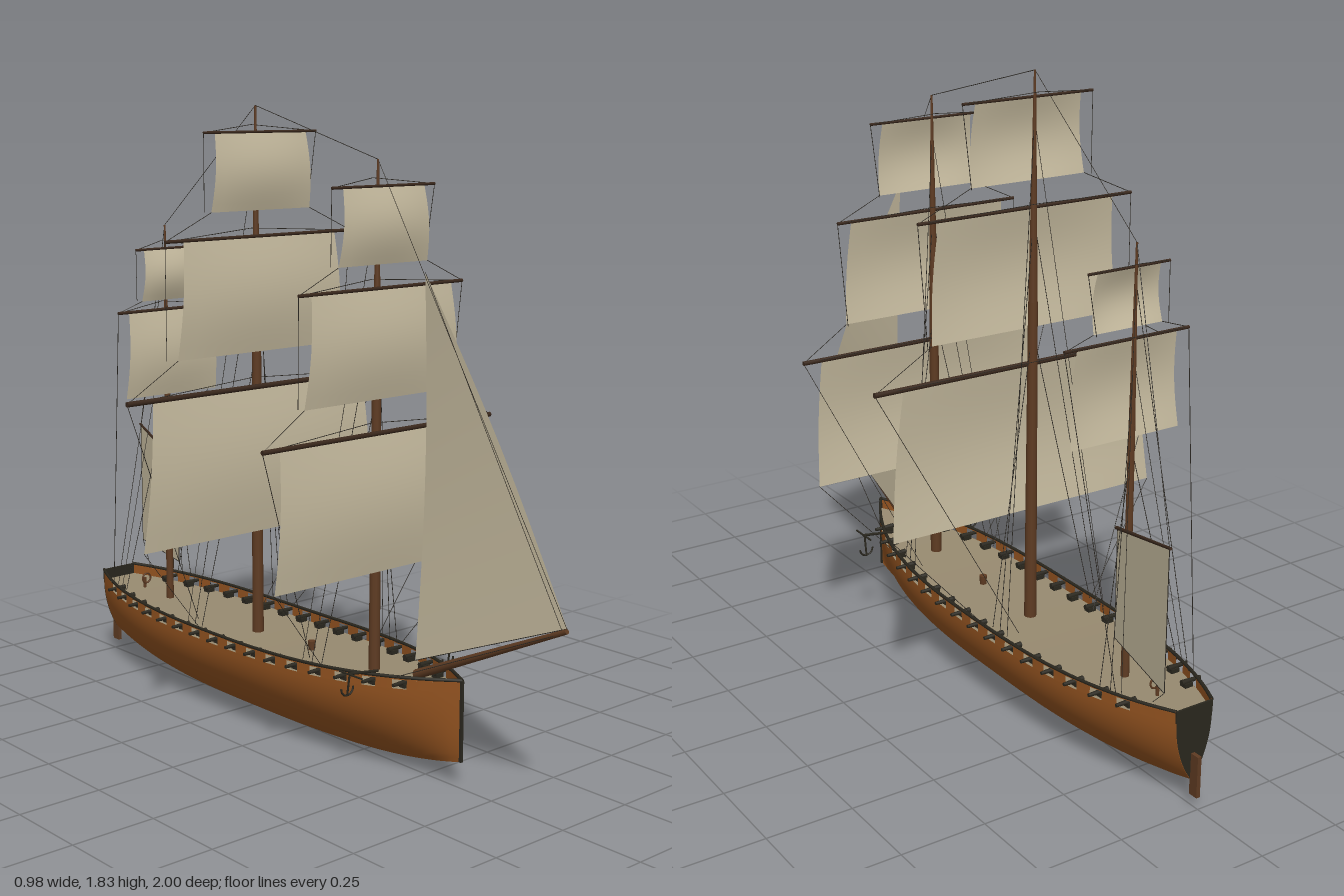
import * as THREE from 'three';

const mat = (name, color) => new THREE.MeshStandardMaterial({ name, color, side: THREE.DoubleSide });

// Hull lines as functions of z
const BOW = 0.635, STERN = -0.97, MID = -0.2;
const reach = (z) => (z > MID ? (z - MID) / (BOW - MID) : (MID - z) / (MID - STERN));
const halfWidth = (z) => 0.185 * (1 - (z > MID ? 1 : 0.68) * reach(z) ** 3);
const sheer = (z) => 0.28 + (z > MID ? 0.032 : 0.017) * reach(z) ** 2;
const deckY = (z) => sheer(z) - 0.034;
const keelY = (z) => 0.005 + 0.075 * reach(z) ** 3;
const section = (z, t) => [
  halfWidth(z) * Math.sin((Math.PI / 2) * t ** 0.8),
  keelY(z) + (deckY(z) - keelY(z)) * t,
];

// Grid surface from a rule f(u, v) -> [x, y, z]
function surface(nu, nv, f) {
  const pos = [], idx = [];
  for (let j = 0; j <= nv; j++) for (let i = 0; i <= nu; i++) pos.push(...f(i / nu, j / nv));
  for (let j = 0; j < nv; j++) for (let i = 0; i < nu; i++) {
    const a = j * (nu + 1) + i, b = a + nu + 1;
    idx.push(a, a + 1, b + 1, a, b + 1, b);
  }
  const g = new THREE.BufferGeometry();
  g.setAttribute('position', new THREE.Float32BufferAttribute(pos, 3));
  g.setIndex(idx);
  g.computeVertexNormals();
  return g;
}

export function createModel() {
  const model = new THREE.Group();
  model.name = 'sailingShip';
  const M = {
    hull: mat('hullBrown', 0x935320),
    deck: mat('deckTan', 0x978a70),
    sail: mat('sailCanvas', 0xc6bb9f),
    mast: mat('mastBrown', 0x5e3b22),
    yard: mat('yardDarkBrown', 0x3a281c),
    dark: mat('trimDark', 0x2a271e),
    rope: mat('ropeDark', 0x2e2a24),
  };
  const add = (name, geo, m, parent = model) => {
    const mesh = new THREE.Mesh(geo, m);
    mesh.name = name;
    parent.add(mesh);
    return mesh;
  };
  const group = (name) => {
    const g = new THREE.Group();
    g.name = name;
    model.add(g);
    return g;
  };
  // Round bar between two points
  const bar = (name, a, b, r0, r1, m, parent, sides = 10) => {
    const A = new THREE.Vector3(...a), B = new THREE.Vector3(...b);
    const mesh = add(name, new THREE.CylinderGeometry(r1, r0, A.distanceTo(B), sides), m, parent);
    mesh.position.copy(A).add(B).multiplyScalar(0.5);
    mesh.quaternion.setFromUnitVectors(new THREE.Vector3(0, 1, 0), B.sub(A).normalize());
    return mesh;
  };
  const rigging = group('rigging');
  const rope = (a, b, r = 0.001) => bar('rope', a, b, r, r, M.rope, rigging, 4);
  const box = (name, size, p, m, parent) =>
    add(name, new THREE.BoxGeometry(...size), m, parent).position.set(...p);

  // Hull, deck and transom
  const along = (u) => STERN + (BOW - STERN) * u;
  for (const s of [-1, 1]) {
    add('hullSide', surface(48, 16, (u, v) => {
      const z = along(u), [x, y] = section(z, v);
      return [s * x, y, z];
    }), M.hull);
  }
  add('deck', surface(40, 2, (u, v) => {
    const z = along(u);
    return [halfWidth(z) * (v * 2 - 1), deckY(z), z];
  }), M.deck);
  add('transom', surface(2, 16, (u, v) => {
    const [x, y] = section(STERN, v);
    return [x * (u * 2 - 1), y, STERN - 0.002];
  }), M.dark);
  box('sternRail', [0.12, 0.034, 0.006], [0, sheer(STERN) - 0.017, STERN], M.dark);
  box('stem', [0.008, 0.23, 0.008], [0, 0.195, BOW], M.dark);
  box('rudder', [0.012, 0.12, 0.03], [0, 0.1, -0.985], M.mast);

  // Bulwarks pierced by gun ports, rails and guns
  const ports = Array.from({ length: 16 }, (_, i) => -0.825 + i * 0.087);
  const half = 0.02;
  for (const s of [-1, 1]) {
    const side = group(s > 0 ? 'leftBulwark' : 'rightBulwark');
    const wall = (z0, z1, lo, hi, m) => add('bulwarkPanel', surface(6, 1, (u, v) => {
      const z = z0 + (z1 - z0) * u;
      return [s * halfWidth(z), deckY(z) + lo + (hi - lo) * v, z];
    }), m, side);
    const edges = [STERN, ...ports.flatMap((z) => [z - half, z + half]), BOW];
    for (let i = 0; i < edges.length; i += 2) wall(edges[i], edges[i + 1], 0, 0.026, M.hull);
    wall(STERN, ports[0], 0.026, 0.034, M.hull);
    for (let i = 0; i < 15; i++) wall(ports[i], ports[i + 1], 0.026, 0.034, M.hull);
    wall(ports[15], BOW, 0.026, 0.034, M.hull);
    const path = new THREE.CatmullRomCurve3(Array.from({ length: 25 }, (_, i) => {
      const z = along(i / 24);
      return new THREE.Vector3(s * halfWidth(z), sheer(z), z);
    }));
    add('rail', new THREE.TubeGeometry(path, 60, 0.005, 6), M.dark, side);
    for (const z of ports) {
      const w = halfWidth(z), y = deckY(z);
      box('gunCarriage', [0.026, 0.012, 0.022], [s * (w - 0.022), y + 0.007, z], M.dark, side);
      bar('gunBarrel', [s * (w - 0.04), y + 0.015, z], [s * (w + 0.024), y + 0.015, z], 0.008, 0.005, M.dark, side, 8);
    }

    // Cathead and anchor at the bow
    const anchor = group('anchor');
    bar('cathead', [s * 0.09, 0.3, 0.4], [s * 0.2, 0.315, 0.4], 0.004, 0.004, M.dark, anchor, 6);
    bar('shank', [s * 0.195, 0.315, 0.4], [s * 0.195, 0.25, 0.39], 0.003, 0.003, M.dark, anchor, 6);
    bar('stock', [s * 0.195, 0.312, 0.36], [s * 0.195, 0.312, 0.45], 0.003, 0.003, M.dark, anchor, 6);
    const arms = add('arms', new THREE.TorusGeometry(0.022, 0.003, 6, 12, Math.PI), M.dark, anchor);
    arms.position.set(s * 0.195, 0.272, 0.39);
    arms.rotation.z = Math.PI;
  }

  // Deck fittings
  bar('capstan', [0, 0.245, 0.02], [0, 0.275, 0.02], 0.01, 0.012, M.mast, model);
  const wheel = add('steeringWheel', new THREE.TorusGeometry(0.016, 0.003, 6, 16), M.mast);
  wheel.position.set(0, 0.29, -0.81);
  bar('wheelPost', [0, 0.255, -0.82], [0, 0.29, -0.82], 0.005, 0.005, M.mast, model);

  // Masts with square sails: [yard y, yard half, sail bottom, top half, bottom half, yard radius]
  const masts = [
    { name: 'foreMast', z: 0.29, top: 1.69, r: 0.017, sails: [
      [0.945, 0.43, 0.55, 0.37, 0.39, 0.007], [1.345, 0.305, 1.04, 0.26, 0.285, 0.005], [1.62, 0.19, 1.41, 0.15, 0.165, 0.004]] },
    { name: 'mainMast', z: -0.23, top: 1.83, r: 0.018, sails: [
      [1.01, 0.49, 0.57, 0.4, 0.44, 0.008], [1.455, 0.35, 1.115, 0.285, 0.31, 0.005], [1.755, 0.21, 1.53, 0.17, 0.185, 0.004]] },
    { name: 'mizzenMast', z: -0.68, top: 1.46, r: 0.012, sails: [
      [1.2, 0.2, 0.93, 0.16, 0.175, 0.005], [1.39, 0.13, 1.23, 0.1, 0.11, 0.004]] },
  ];
  for (const { name, z, top, r, sails } of masts) {
    const g = group(name);
    const y0 = deckY(z), yMid = y0 + (top - y0) * 0.6;
    bar('lowerMast', [0, y0 - 0.02, z], [0, yMid, z], r, r * 0.75, M.mast, g, 12);
    bar('upperMast', [0, yMid, z], [0, top, z], r * 0.75, 0.003, M.mast, g, 10);
    const zy = z + 0.026;
    sails.forEach(([y, yh, yb, th, bh, yr], k) => {
      bar('yard', [-yh, y, zy], [yh, y, zy], yr, yr, M.yard, g, 8);
      add('squareSail', surface(10, 10, (u, v) => {
        const h = th + (bh - th) * v, c = u * 2 - 1;
        return [c * h, y + (yb - y) * v, zy + 0.022 * Math.sin(Math.PI * v) * (1 - 0.4 * c * c)];
      }), M.sail, g);
      for (const s of [-1, 1]) {
        const foot = z - 0.13;
        if (k === 0) {
          if (name !== 'mizzenMast') rope([s * bh, yb, zy], [s * halfWidth(z - 0.05), sheer(z), z - 0.05]);
          rope([s * yh, y, zy], [s * 0.13, sheer(foot), foot]);
        } else {
          const below = sails[k - 1];
          rope([s * bh, yb, zy], [s * below[1], below[0], zy]);
          rope([s * yh, y, zy], [s * (yh - 0.015), yb, zy - 0.02]);
        }
        rope([s * yh, y, zy], [0, y + 0.02, z - 0.02]);
      }
    });
    // Shrouds
    for (const s of [-1, 1]) {
      [0.55, 0.75, 0.92].forEach((f, i) => {
        const zf = z - 0.06 - i * 0.035;
        rope([0, y0 + (top - y0) * f, z], [s * halfWidth(zf) * 0.92, sheer(zf), zf]);
      });
    }
  }

  // Bowsprit and jib
  bar('bowsprit', [0, 0.285, 0.46], [0, 0.535, 0.995], 0.014, 0.007, M.mast, model);
  const fabric = (name, corners) => {
    const [a, b, c, d] = corners.map((p) => new THREE.Vector3(...p));
    add(name, surface(8, 8, (u, v) => {
      const p = a.clone().lerp(b, u).lerp(d.clone().lerp(c, u), v);
      return [p.x, p.y, p.z];
    }), M.sail);
    corners.forEach((p, i) => rope(p, corners[(i + 1) % 4], 0.0015));
  };
  const jib = [[0, 1.4, 0.475], [0.03, 0.31, 0.425], [0.03, 0.53, 0.97]];
  add('jib', surface(1, 10, (u, v) => {
    const p = new THREE.Vector3(...jib[1]).lerp(new THREE.Vector3(...jib[2]), u);
    p.lerp(new THREE.Vector3(...jib[0]), v);
    return [p.x + 0.02 * Math.sin(Math.PI * v), p.y, p.z];
  }), M.sail);
  rope(jib[1], jib[2]);

  // Spanker with its gaff
  fabric('spanker', [[0.03, 0.69, -0.67], [0.11, 0.77, -0.98], [0.11, 0.37, -0.98], [0.03, 0.37, -0.67]]);
  bar('gaff', [0.03, 0.69, -0.665], [0.11, 0.77, -0.985], 0.005, 0.004, M.yard, model, 8);

  // Stays from bowsprit over the mastheads to the stern
  const stays = [[0, 0.54, 0.995], [0, 1.69, 0.29], [0, 1.83, -0.23], [0, 1.46, -0.68], [0.11, 0.77, -0.98]];
  for (let i = 0; i < 4; i++) rope(stays[i], stays[i + 1]);
  rope([0.11, 0.37, -0.98], [0.08, 0.3, -0.9]);
  rope([0, 0.53, 0.98], [0, 1.4, 0.475]);
  for (const s of [-1, 1]) rope([0, 0.53, 0.99], [s * 0.1, 0.3, 0.47]);
  return model;
}
